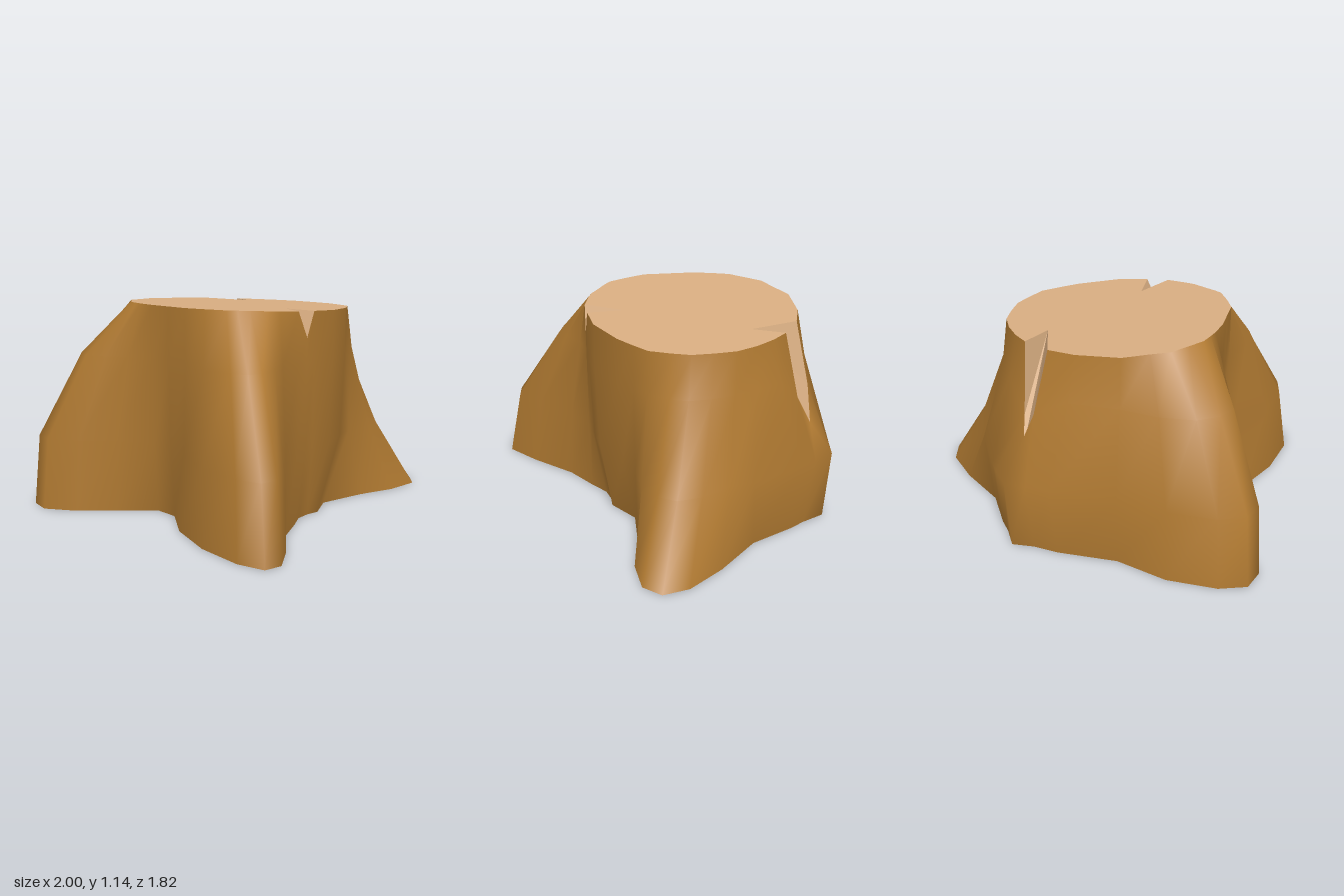
import * as THREE from 'three';

const material = (name, color) => {
  const m = new THREE.MeshStandardMaterial({ color, side: THREE.DoubleSide });
  m.name = name;
  return m;
};

// Sides of the stump, going round from +x towards +z.
// Each column is [outer x, outer z, top x, top z]; draw says how far it has
// moved from the outer point to the top point at the ground, lower and upper rings.
const SECTIONS = [
  { draw: [0, 0.5, 0.9], columns: [ // left root
    [0.84, 0.06, 0.54, -0.1], [0.98, 0.27, 0.54, 0.02], [1, 0.42, 0.53, 0.14],
    [0.9, 0.5, 0.49, 0.23], [0.69, 0.49, 0.43, 0.34]] },
  { draw: [0, 0.8, 1], columns: [ // front hollow
    [0.47, 0.42, 0.34, 0.4], [0.18, 0.37, 0.24, 0.46], [0, 0.46, 0.02, 0.54],
    [-0.08, 0.45, -0.15, 0.54], [-0.17, 0.46, -0.21, 0.54], [-0.28, 0.52, -0.27, 0.53]] },
  { draw: [0, 0.13, 0.6], columns: [ // front right root
    [-0.47, 0.61, -0.37, 0.49], [-0.7, 0.79, -0.43, 0.46], [-0.89, 0.91, -0.5, 0.4],
    [-0.99, 0.89, -0.55, 0.36], [-1, 0.73, -0.59, 0.32], [-0.92, 0.44, -0.63, 0.21]] },
  { draw: [0, 0.7, 1], columns: [ // right hollow
    [-0.76, 0.14, -0.66, 0.1], [-0.56, -0.08, -0.645, -0.03], [-0.53, -0.23, -0.63, -0.16]] },
  { draw: [0, 0.06, 0.5], columns: [ // back right root
    [-0.68, -0.4, -0.6, -0.27], [-0.82, -0.57, -0.58, -0.32], [-0.9, -0.74, -0.55, -0.39],
    [-0.85, -0.87, -0.48, -0.46], [-0.7, -0.91, -0.4, -0.54], [-0.43, -0.87, -0.3, -0.57]] },
  { draw: [0.3, 0, 0.75], columns: [ // back and back left corner, undercut at the ground
    [-0.16, -0.78, -0.16, -0.62], [0.2, -0.74, 0.08, -0.59], [0.33, -0.71, 0.23, -0.53],
    [0.45, -0.68, 0.36, -0.58], [0.52, -0.56, 0.37, -0.42], [0.56, -0.47, 0.44, -0.33],
    [0.68, -0.16, 0.5, -0.22]] },
];
const FRONT_NOTCH = 9, BACK_NOTCH = 29;

const topY = (x) => 1.107 - 0.05 * x; // the cut slopes slightly
const vec = (x, y, z) => new THREE.Vector3(x, y, z);

function makeColumn([ox, oz, tx, tz], draw) {
  const at = (f, y) => vec(ox + (tx - ox) * f, y, oz + (tz - oz) * f);
  return [at(draw[0], 0), at(draw[1], 0.39), at(draw[2], 0.85), at(1, topY(tx))];
}

function meshFrom(name, points, index, mat) {
  const geo = new THREE.BufferGeometry().setFromPoints(points);
  if (index) geo.setIndex(index);
  geo.computeVertexNormals();
  const mesh = new THREE.Mesh(geo, mat);
  mesh.name = name;
  return mesh;
}

export function createModel() {
  const group = new THREE.Group();
  group.name = 'treeStump';
  const bark = material('bark', 0xb27b32);
  const wood = material('cut wood', 0xd9ae82);

  const cols = SECTIONS.flatMap((s) => s.columns.map((c) => makeColumn(c, s.draw)));
  const n = cols.length;

  // Small nick in the front of the rim
  cols[FRONT_NOTCH][3].y = 0.98;
  const frontInner = vec(-0.14, topY(-0.14), 0.34);

  // Deep split at the back
  const split = vec(0.36, 0.55, -0.58);
  cols[BACK_NOTCH][2] = cols[BACK_NOTCH][3] = split;
  cols[BACK_NOTCH - 1][2].set(0.3, 0.75, -0.58);
  cols[BACK_NOTCH + 1][2].set(0.365, 0.71, -0.5);
  const backInner = vec(0.28, topY(0.28), -0.26);

  // Bark shell, open underneath and at the split
  const index = [];
  for (let i = 0; i < n; i++) {
    const k = (i + 1) % n;
    for (let j = 0; j < 3; j++) {
      if (j === 2 && (i === BACK_NOTCH || k === BACK_NOTCH)) continue;
      const a = i * 4 + j, c = k * 4 + j;
      index.push(a, a + 1, c, c, a + 1, c + 1);
    }
  }
  group.add(meshFrom('barkAndRoots', cols.flat(), index, bark));

  // Cut top, its rim stepping inwards at both notches
  const rim = cols.map((c, i) =>
    i === FRONT_NOTCH ? frontInner : i === BACK_NOTCH ? backInner : c[3]);
  const faces = THREE.ShapeUtils.triangulateShape(
    rim.map((p) => new THREE.Vector2(p.x, p.z)), []);
  const capIndex = faces.flatMap(([a, b, c]) => {
    const up = rim[b].clone().sub(rim[a]).cross(rim[c].clone().sub(rim[a])).y > 0;
    return up ? [a, b, c] : [a, c, b];
  });
  group.add(meshFrom('cutTop', rim, capIndex, wood));

  // Walls of the notches: each fans out from the inner corner
  const notch = (name, inner, edge) => {
    const tris = [];
    for (let i = 0; i + 1 < edge.length; i++) tris.push(inner, edge[i], edge[i + 1]);
    group.add(meshFrom(name, tris, null, wood));
  };
  const [f0, f1, f2] = [-1, 0, 1].map((d) => cols[FRONT_NOTCH + d]);
  notch('frontNick', frontInner, [f0[3], f1[3], f2[3]]);
  const [b0, , b2] = [-1, 0, 1].map((d) => cols[BACK_NOTCH + d]);
  notch('backSplit', backInner, [b0[3], b0[2], split, b2[2], b2[3]]);

  return group;
}
